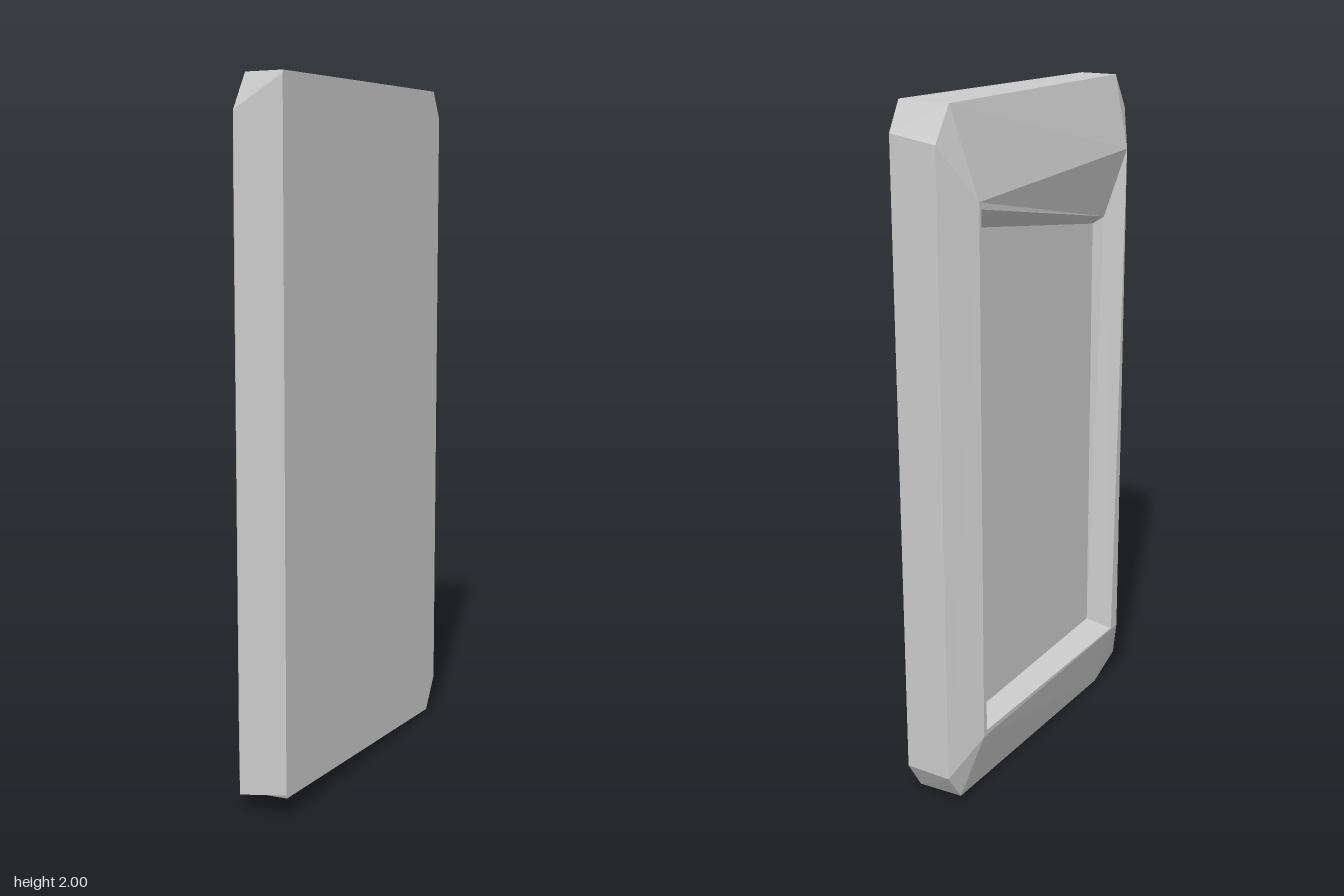
import * as THREE from 'three';

// A loop is eight points running round the slab, two per corner:
// top front, bottom front, bottom back, top back.
const level = (x, pts) => pts.map(([z, y]) => new THREE.Vector3(x, y, z));
// Doubles four sharp corners so they match the chamfered loops
const square = (corners) =>
  corners.flatMap(([x, y, z]) => [new THREE.Vector3(x, y, z), new THREE.Vector3(x, y, z)]);

const backFace = level(0.1, [
  [0.5, 1.985], [0.503, 1.975], [0.503, 0.07], [0.5, 0.06],
  [-0.45, 0.015], [-0.51, 0.11], [-0.51, 1.92], [-0.465, 2]]);
const rim = level(-0.04, [
  [0.45, 1.99], [0.513, 1.89], [0.513, 0.05], [0.38, 0],
  [-0.45, 0.02], [-0.513, 0.11], [-0.513, 1.9], [-0.45, 1.995]]);
const ridge = square([
  [-0.1, 1.78, 0.415], [-0.1, 0.21, 0.415], [-0.1, 0.215, -0.415], [-0.1, 1.75, -0.41]]);
const opening = square([
  [-0.05, 1.58, 0.37], [-0.1, 0.215, 0.375], [-0.1, 0.23, -0.4], [-0.1, 1.73, -0.4]]);
const floor = square([
  [-0.025, 1.56, 0.345], [-0.025, 0.245, 0.345], [-0.025, 0.24, -0.37], [-0.025, 1.67, -0.37]]);

// Collects triangles, leaving out those with no area
function addTriangle(out, a, b, c) {
  if (new THREE.Triangle(a, b, c).getArea() < 1e-7) return;
  for (const p of [a, b, c]) out.push(p.x, p.y, p.z);
}

function band(out, a, b) {
  for (let i = 0; i < a.length; i++) {
    const j = (i + 1) % a.length;
    addTriangle(out, a[i], b[i], b[j]);
    addTriangle(out, a[i], b[j], a[j]);
  }
}

function cap(out, loop, flip) {
  for (let i = 1; i < loop.length - 1; i++) {
    const [b, c] = flip ? [i + 1, i] : [i, i + 1];
    addTriangle(out, loop[0], loop[b], loop[c]);
  }
}

function makeMesh(name, build) {
  const out = [];
  build(out);
  const geometry = new THREE.BufferGeometry();
  geometry.setAttribute('position', new THREE.Float32BufferAttribute(out, 3));
  geometry.computeVertexNormals();
  const mesh = new THREE.Mesh(geometry,
    new THREE.MeshStandardMaterial({ color: 0xcccccc, flatShading: true }));
  mesh.name = name;
  return mesh;
}

export function createModel() {
  const model = new THREE.Group();
  model.name = 'framedSlab';

  // Flat back with chamfered outer edges
  model.add(makeMesh('slabBody', (out) => {
    cap(out, backFace, false);
    band(out, backFace, rim);
  }));

  // Bevelled border up to the raised ridge and in to the opening
  model.add(makeMesh('frameBorder', (out) => {
    band(out, rim, ridge);
    band(out, ridge, opening);
  }));

  // Sunken panel: sloping walls and floor
  model.add(makeMesh('recessedPanel', (out) => {
    band(out, opening, floor);
    cap(out, floor, true);
  }));

  return model;
}
